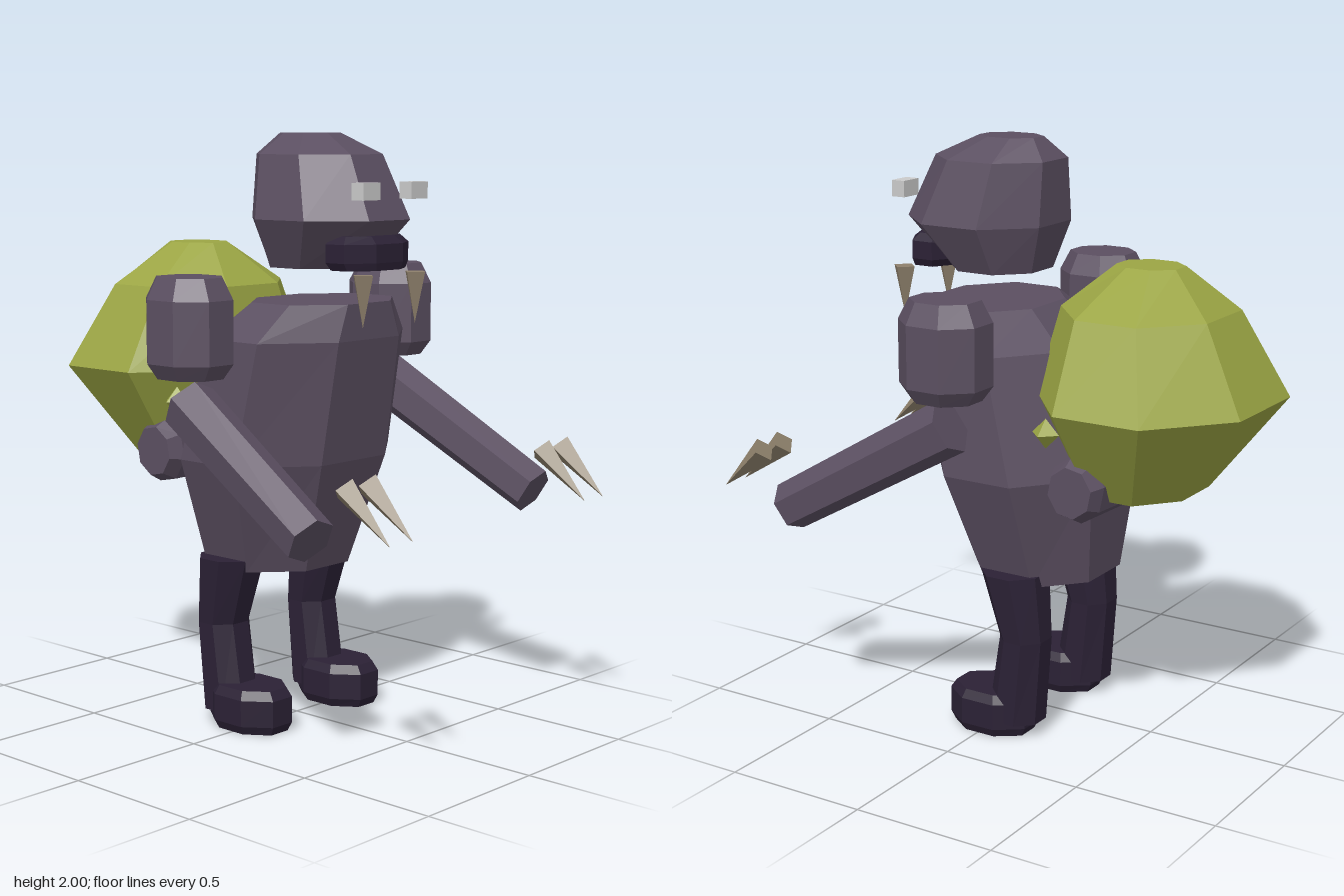
import * as THREE from 'three';

const mat = (name, color) => {
  const m = new THREE.MeshStandardMaterial({ color, flatShading: true });
  m.name = name;
  return m;
};

// Eight-sided loft through level rings [y, centreZ, halfWidth, halfDepth], capped at both ends
function loft(rings, cx = 0) {
  const n = 8, k = 1 / Math.cos(Math.PI / n), pos = [], idx = [];
  for (const [y, cz, hx, hz] of rings)
    for (let i = 0; i < n; i++) {
      const a = ((i + 0.5) / n) * Math.PI * 2;
      pos.push(cx + Math.sin(a) * hx * k, y, cz + Math.cos(a) * hz * k);
    }
  for (let r = 0; r < rings.length - 1; r++)
    for (let i = 0; i < n; i++) {
      const j = (i + 1) % n, a = r * n + i, b = r * n + j;
      idx.push(a, b, b + n, a, b + n, a + n);
    }
  const top = (rings.length - 1) * n;
  for (let i = 1; i < n - 1; i++) {
    idx.push(0, i + 1, i);
    idx.push(top, top + i, top + i + 1);
  }
  const g = new THREE.BufferGeometry();
  g.setAttribute('position', new THREE.Float32BufferAttribute(pos, 3));
  g.setIndex(idx);
  const flat = g.toNonIndexed();
  flat.computeVertexNormals();
  return flat;
}

export function createModel() {
  const root = new THREE.Group();
  root.name = 'creature';
  const skin = mat('dusky purple skin', 0x5b4f61);
  const dark = mat('dark violet', 0x2b2135);
  const sackMat = mat('olive sack', 0x9ba544);
  const horn = mat('horn', 0x8d806b);
  const eyeMat = mat('pale eye', 0xcacaca);

  const add = (name, geo, material) => {
    const m = new THREE.Mesh(geo, material);
    m.name = name;
    root.add(m);
    return m;
  };
  // Tapered piece running from point a to point b
  const limb = (name, a, b, ra, rb, sides, material) => {
    const from = new THREE.Vector3(...a), to = new THREE.Vector3(...b);
    const dir = to.clone().sub(from);
    const m = add(name, new THREE.CylinderGeometry(rb, ra, dir.length(), sides), material);
    m.position.copy(from).add(to).multiplyScalar(0.5);
    m.quaternion.setFromUnitVectors(new THREE.Vector3(0, 1, 0), dir.normalize());
    return m;
  };

  // Leaning barrel torso
  add('torso', loft([
    [0.54, -0.085, 0.255, 0.226], [0.92, -0.045, 0.385, 0.305],
    [1.33, 0.05, 0.362, 0.275], [1.45, 0.12, 0.255, 0.205],
  ]), skin);

  // Head with the brow pushed forward
  add('head', loft([
    [1.56, 0.1, 0.165, 0.16], [1.72, 0.15, 0.245, 0.26],
    [1.93, 0.1, 0.193, 0.21], [2.0, 0.06, 0.08, 0.105],
  ]), skin);
  add('mouth', loft([
    [1.56, 0.32, 0.145, 0.085], [1.585, 0.315, 0.16, 0.095],
    [1.645, 0.315, 0.16, 0.095], [1.67, 0.31, 0.135, 0.07],
  ]), dark);

  // Sack carried on the back
  add('sack', loft([
    [0.88, -0.46, 0.23, 0.19], [1.2, -0.52, 0.44, 0.37],
    [1.48, -0.473, 0.3, 0.265], [1.62, -0.472, 0.09, 0.107],
  ]), sackMat);

  // Padded roll under the sack
  const roll = add('sackSupport', loft([
    [-0.33, 0, 0.08, 0.075], [-0.28, 0, 0.105, 0.095],
    [0, -0.02, 0.1, 0.095], [0.28, 0, 0.105, 0.095], [0.33, 0, 0.08, 0.075],
  ]), skin);
  roll.rotation.set(-0.2, 0, Math.PI / 2, 'XYZ');
  roll.position.set(0, 0.92, -0.365);

  for (const s of [1, -1]) {
    const side = s > 0 ? 'left' : 'right';

    // Face details
    add(side + 'Eye', new THREE.BoxGeometry(0.083, 0.055, 0.05), eyeMat)
      .position.set(s * 0.118, 1.815, 0.41);
    limb(side + 'Tusk', [s * 0.13, 1.55, 0.41], [s * 0.13, 1.38, 0.41], 0.042, 0, 4, horn);

    // Shoulder and arm
    add(side + 'Shoulder', loft([
      [1.22, -0.008, 0.1, 0.11], [1.27, -0.008, 0.13, 0.145],
      [1.475, -0.008, 0.13, 0.145], [1.545, -0.008, 0.1, 0.11],
    ], s * 0.495), skin);
    limb(side + 'Arm', [s * 0.49, 1.13, -0.018], [s * 0.565, 0.78, 0.585], 0.094, 0.084, 6, skin);

    // Claws
    for (const x of [0.442, 0.547])
      limb(side + 'Claw', [s * x, 0.955, 0.707], [s * x, 0.8, 0.885], 0.044, 0, 4, horn);

    // Leg and foot
    add(side + 'Leg', loft([
      [0.05, -0.1, 0.088, 0.093], [0.35, -0.135, 0.088, 0.08], [0.58, -0.092, 0.11, 0.107],
    ], s * 0.222), dark);
    add(side + 'Foot', loft([
      [0, -0.008, 0.096, 0.135], [0.03, -0.008, 0.111, 0.15],
      [0.12, -0.008, 0.111, 0.15], [0.15, -0.008, 0.096, 0.13],
    ], s * 0.222), dark);

    // Small knot tying the sack
    add(side + 'SackKnot', new THREE.OctahedronGeometry(0.05), sackMat)
      .position.set(s * 0.31, 1.1, -0.265);
  }
  return root;
}
